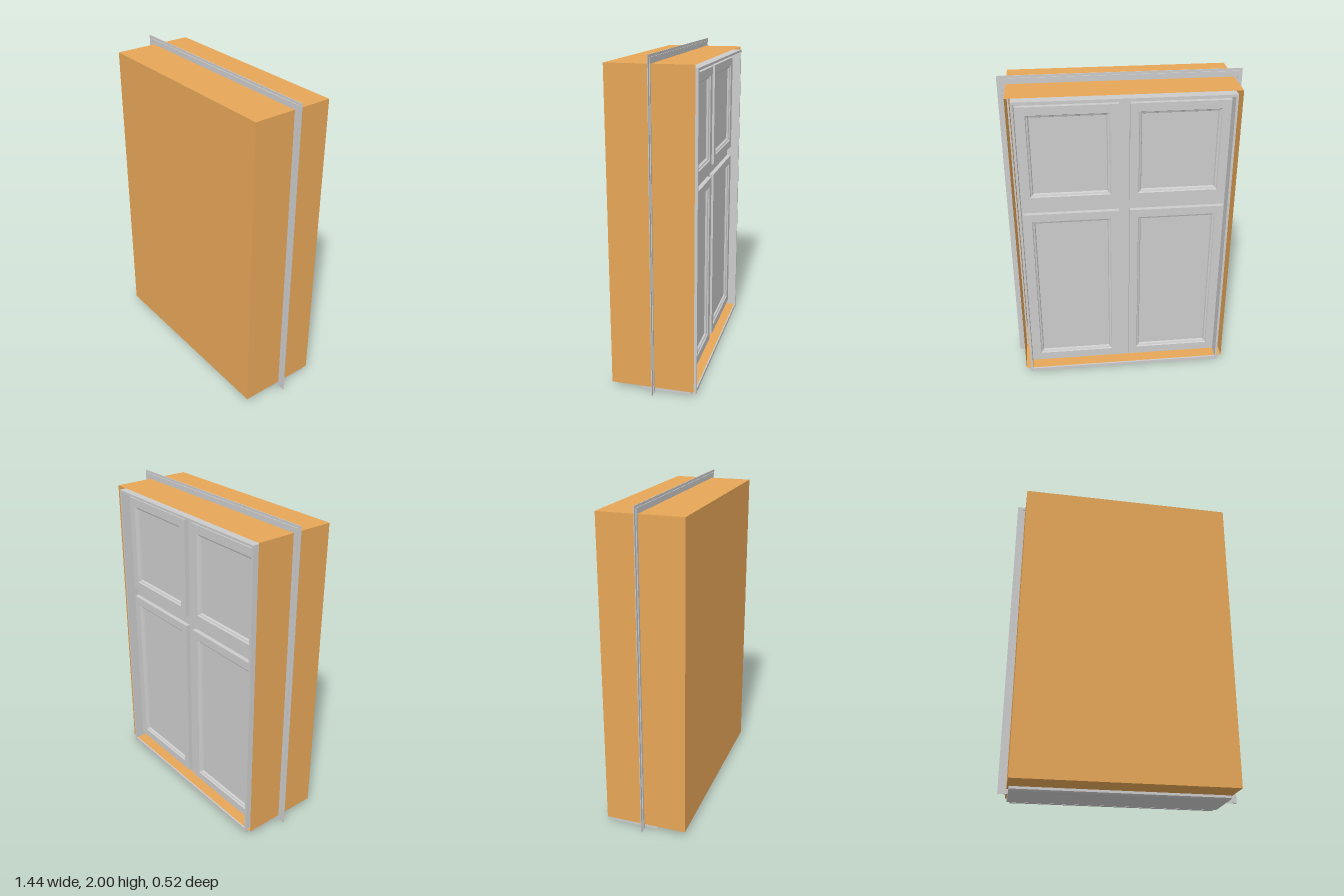
import * as THREE from 'three';

const grey = new THREE.MeshStandardMaterial({ color: 0xcccccc, flatShading: true });
const orange = new THREE.MeshStandardMaterial({ color: 0xe6a657, flatShading: true, side: THREE.DoubleSide });

// Box given by its limits on each axis
function box(name, [x0, x1], [y0, y1], [z0, z1]) {
  const mesh = new THREE.Mesh(new THREE.BoxGeometry(x1 - x0, y1 - y0, z1 - z0), grey);
  mesh.position.set((x0 + x1) / 2, (y0 + y1) / 2, (z0 + z1) / 2);
  mesh.name = name;
  return mesh;
}

// Three-sided surround, open at the bottom
function surround(name, outer, inner, top, bottom, z0, z1) {
  const group = new THREE.Group();
  group.name = name;
  const t = outer - inner;
  for (const s of [-1, 1]) {
    const limits = s > 0 ? [inner, outer] : [-outer, -inner];
    group.add(box(name + 'Side', limits, [bottom, top], [z0, z1]));
  }
  group.add(box(name + 'Top', [-inner, inner], [top - t, top], [z0, z1]));
  return group;
}

// Rectangular ring whose stepped section is swept round its four mitred corners.
// Each profile point is [inset from the outer edge, z].
function ring(name, [x0, x1], [y0, y1], profile) {
  const positions = [];
  const corners = ([d, z]) => [[x0 + d, y0 + d, z], [x1 - d, y0 + d, z], [x1 - d, y1 - d, z], [x0 + d, y1 - d, z]];
  for (let i = 0; i < profile.length - 1; i++) {
    const a = corners(profile[i]), b = corners(profile[i + 1]);
    for (let k = 0; k < 4; k++) {
      const n = (k + 1) % 4;
      positions.push(...a[k], ...b[k], ...b[n], ...a[k], ...b[n], ...a[n]);
    }
  }
  const geometry = new THREE.BufferGeometry();
  geometry.setAttribute('position', new THREE.Float32BufferAttribute(positions, 3));
  geometry.computeVertexNormals();
  const material = grey.clone();
  material.side = THREE.DoubleSide;
  const mesh = new THREE.Mesh(geometry, material);
  mesh.name = name;
  return mesh;
}

// Sash with a bevelled glazing bead around its pane
function sash(name, xs, ys) {
  const group = new THREE.Group();
  group.name = name;
  group.add(ring('sashFrame', xs, ys, [
    [0, -0.175], [0, -0.205], [0.052, -0.205], [0.056, -0.198], [0.066, -0.194], [0.072, -0.18],
  ]));
  group.add(box('pane', [xs[0] + 0.06, xs[1] - 0.06], [ys[0] + 0.06, ys[1] - 0.06], [-0.183, -0.178]));
  return group;
}

// Opening block: five walls, open at the back
function openingBlock() {
  const group = new THREE.Group();
  group.name = 'openingBlock';
  const W = 1.34, H = 1.92, D = 0.51, cy = 0.99, cz = 0.005;
  const wall = (name, w, h, pos, rx, ry) => {
    const mesh = new THREE.Mesh(new THREE.PlaneGeometry(w, h), orange);
    mesh.name = name;
    mesh.position.set(...pos);
    mesh.rotation.set(rx, ry, 0);
    group.add(mesh);
  };
  wall('frontWall', W, H, [0, cy, cz + D / 2], 0, 0);
  for (const s of [-1, 1]) {
    wall('sideWall', D, H, [s * W / 2, cy, cz], 0, s * Math.PI / 2);
    wall(s > 0 ? 'topWall' : 'bottomWall', W, D, [0, cy + s * H / 2, cz], -s * Math.PI / 2, 0);
  }
  return group;
}

export function createModel() {
  const model = new THREE.Group();
  model.name = 'windowUnit';
  model.add(openingBlock());

  // Fixing flange around the outside, with a raised rim
  model.add(surround('flange', 0.72, 0.66, 2, 0, -0.007, -0.003));
  model.add(surround('flangeRim', 0.70, 0.69, 1.985, 0.005, -0.012, 0.002));

  // Jambs and head lining the open back
  model.add(surround('jamb', 0.64, 0.626, 1.93, 0.005, -0.26, -0.17));

  // Fixed frame behind the sashes: mullion, transom and margins
  model.add(box('fixedFrame', [-0.63, 0.63], [0.035, 1.92], [-0.177, -0.15]));

  // Sill under the block, with a chamfered inner edge
  const section = new THREE.Shape([
    [0.23, 0.006], [-0.07, 0.006], [-0.08, 0.014], [-0.08, 0.029], [0.23, 0.029],
  ].map(([x, y]) => new THREE.Vector2(x, y)));
  const sill = new THREE.Mesh(new THREE.ExtrudeGeometry(section, { depth: 1.32, bevelEnabled: false }), grey);
  sill.rotation.y = Math.PI / 2;
  sill.position.x = -0.66;
  sill.name = 'sill';
  model.add(sill);
  model.add(box('sillNose', [-0.64, 0.64], [0.005, 0.027], [-0.257, -0.23]));

  // Two columns of sashes, short above tall
  for (const s of [-1, 1]) {
    const xs = s > 0 ? [0.032, 0.618] : [-0.618, -0.032];
    model.add(sash('upperSash', xs, [1.255, 1.88]));
    model.add(sash('lowerSash', xs, [0.062, 1.19]));
  }
  return model;
}
